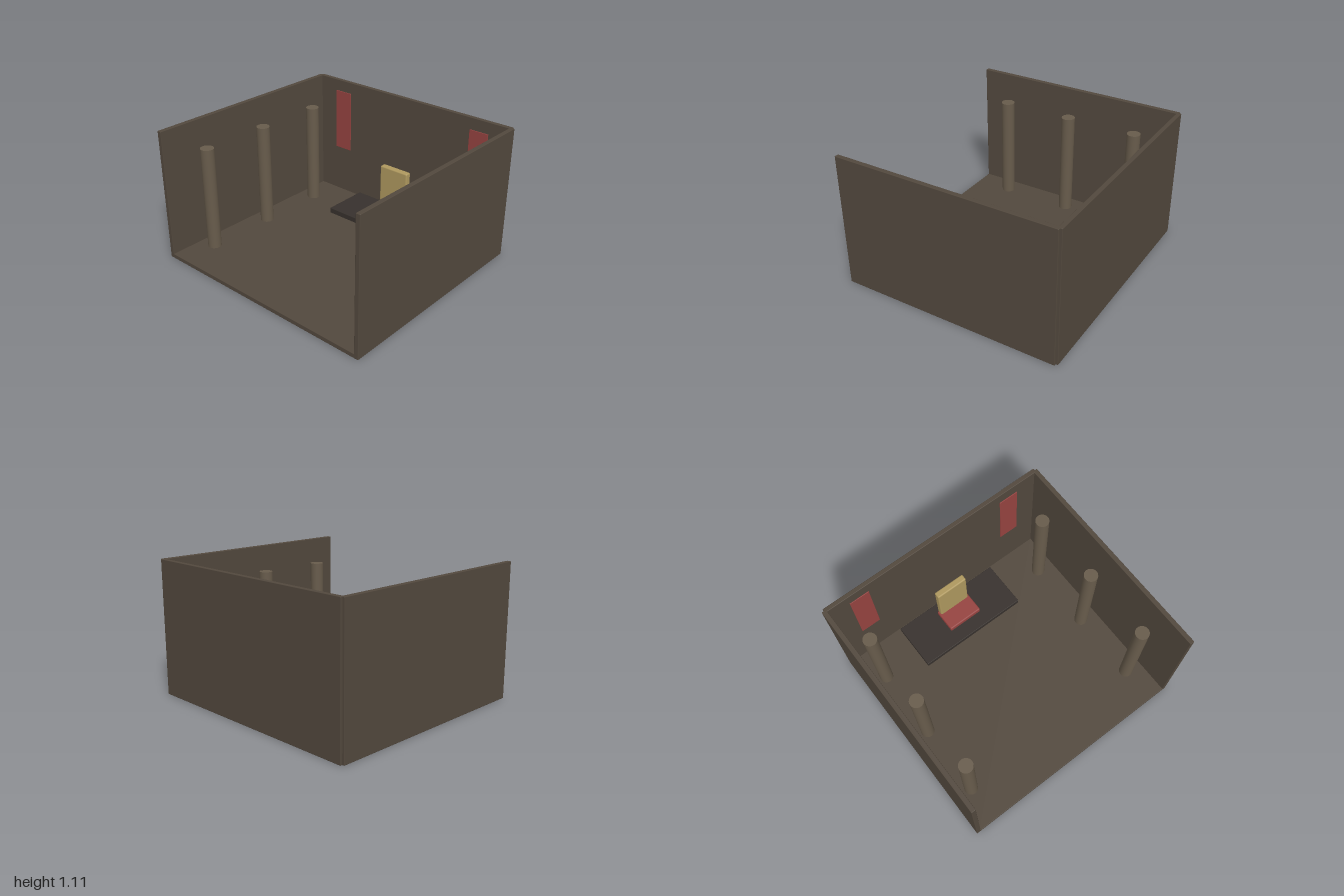
import * as THREE from 'three';
import { RoundedBoxGeometry } from 'three/addons/geometries/RoundedBoxGeometry.js';

const material = (color) => new THREE.MeshStandardMaterial({ color });

export function createModel() {
  const model = new THREE.Group();
  const stone = material(0x52483d);
  const pillarStone = material(0x675b4b);
  const darkStone = material(0x37312d);
  const red = material(0x954340);
  const gold = material(0xae985e);

  // Softly edged block given by its extents on each axis
  const block = (name, mat, [x0, x1], [y0, y1], [z0, z1], radius = 0.004, parent = model) => {
    const geometry = new RoundedBoxGeometry(x1 - x0, y1 - y0, z1 - z0, 2, radius);
    const mesh = new THREE.Mesh(geometry, mat);
    mesh.position.set((x0 + x1) / 2, (y0 + y1) / 2, (z0 + z1) / 2);
    mesh.name = name;
    parent.add(mesh);
    return mesh;
  };

  // Room shell, open at the front and top
  block('floor', stone, [-0.98, 0.98], [0, 0.037], [-0.905, 0.922]);
  block('backWall', stone, [-0.982, 0.982], [0, 1.109], [-0.922, -0.886]);

  for (const side of [-1, 1]) {
    const label = side > 0 ? 'left' : 'right';
    const span = (a, b) => (side > 0 ? [a, b] : [-b, -a]);
    block(label + 'Wall', stone, span(0.963, 1), [0, 1.109], [-0.905, 0.922]);

    // Hanging on the back wall
    block(label + 'Banner', red, span(0.62, 0.79), [0.46, 1.008], [-0.89, -0.88], 0.002);

    // Row of three columns
    for (const z of [-0.597, 0.004, 0.605]) {
      const pillar = new THREE.Mesh(new THREE.CylinderGeometry(0.056, 0.056, 0.913, 24), pillarStone);
      pillar.position.set(side * 0.823, 0.4575, z);
      pillar.name = label + 'Pillar';
      model.add(pillar);
    }
  }

  // Raised platform
  block('dais', darkStone, [-0.487, 0.487], [0.001, 0.083], [-0.866, -0.455]);

  // Throne
  const throne = new THREE.Group();
  throne.name = 'throne';
  block('throneBack', gold, [-0.141, 0.141], [0.083, 0.512], [-0.78, -0.723], 0.012, throne);
  block('throneSeat', red, [-0.155, 0.155], [0.107, 0.16], [-0.77, -0.566], 0.012, throne);
  model.add(throne);

  return model;
}
